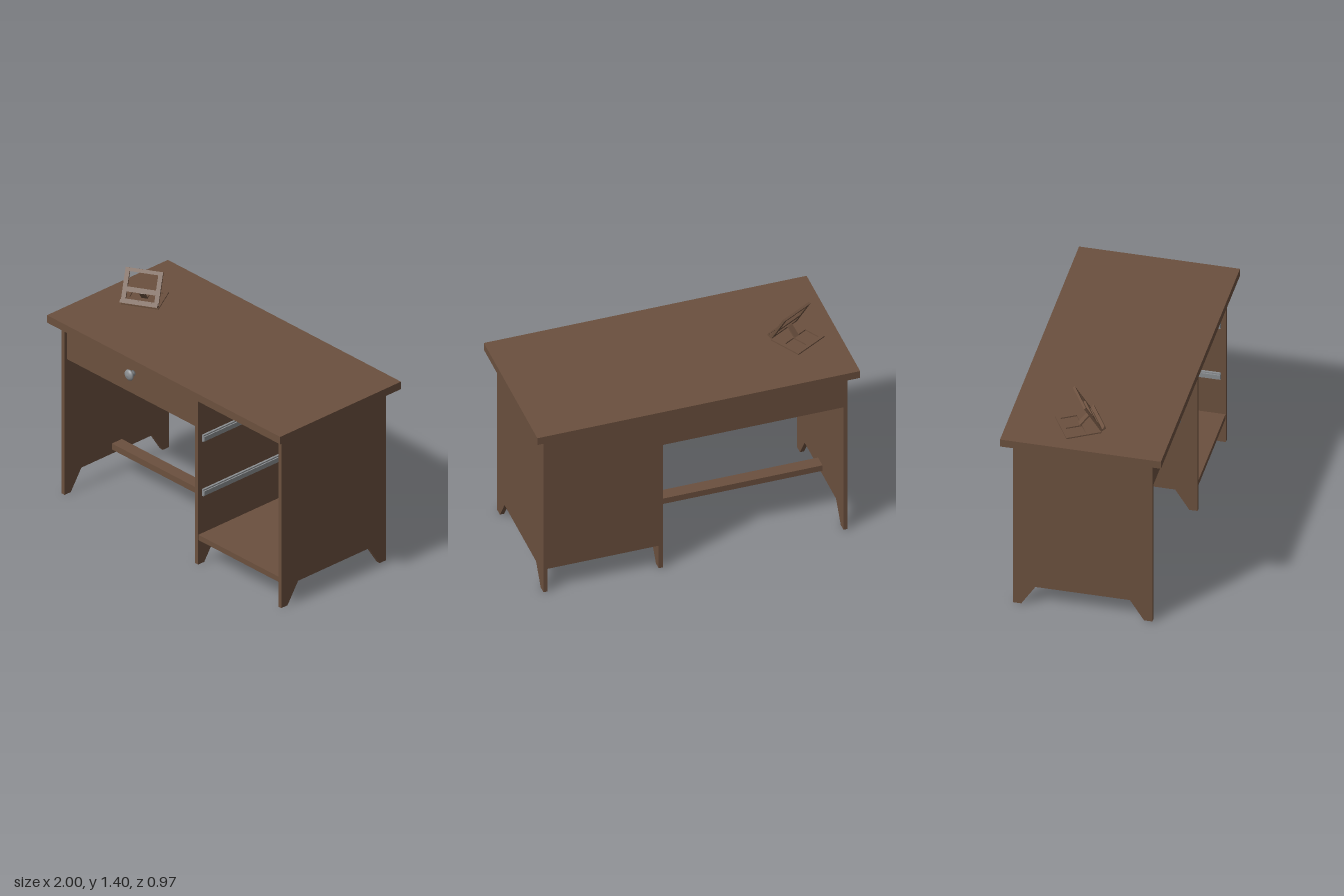
import * as THREE from 'three';

const wood = new THREE.MeshStandardMaterial({ color: 0x6b503e });
wood.name = 'brown wood';
const metal = new THREE.MeshStandardMaterial({ color: 0x8a8d90 });
metal.name = 'grey metal';

function add(parent, name, geometry, material = wood) {
  const mesh = new THREE.Mesh(geometry, material);
  mesh.name = name;
  parent.add(mesh);
  return mesh;
}

// Box given by its limits on each axis
function board(parent, name, [x0, x1], [y0, y1], [z0, z1], material = wood) {
  const mesh = add(parent, name, new THREE.BoxGeometry(x1 - x0, y1 - y0, z1 - z0), material);
  mesh.position.set((x0 + x1) / 2, (y0 + y1) / 2, (z0 + z1) / 2);
  return mesh;
}

function rectPoints(x0, x1, y0, y1) {
  return [[x0, y0], [x1, y0], [x1, y1], [x0, y1]].map(p => new THREE.Vector2(...p));
}

// Flat rectangular plate with rectangular openings
function framePlate(outer, openings, depth) {
  const shape = new THREE.Shape(rectPoints(...outer));
  openings.forEach(o => shape.holes.push(new THREE.Path(rectPoints(...o))));
  return new THREE.ExtrudeGeometry(shape, { depth, bevelEnabled: false });
}

// Upright panel whose lower edge is cut away to leave two feet
function footedPanel() {
  const half = [[0.42, 1.14], [0.42, 0], [0.37, 0], [0.285, 0.132]];
  const points = [...half, ...half.slice().reverse().map(([z, y]) => [-z, y])];
  const shape = new THREE.Shape(points.map(p => new THREE.Vector2(...p)));
  const geometry = new THREE.ExtrudeGeometry(shape, { depth: 0.026, bevelEnabled: false });
  return geometry.rotateY(Math.PI / 2);
}

function createStand() {
  const stand = new THREE.Group();
  stand.name = 'deviceStand';
  stand.position.set(-0.75, 1.2, -0.065);
  stand.rotation.y = Math.PI / 6;

  // Thin base with two openings
  const base = framePlate([-0.115, 0.115, -0.1, 0.115],
    [[-0.09, -0.015, -0.01, 0.09], [0.015, 0.09, -0.01, 0.09]], 0.008);
  add(stand, 'standBase', base.rotateX(-Math.PI / 2));

  // Leaning back rest with a tall and a low opening
  const rest = new THREE.Group();
  rest.name = 'backRest';
  rest.position.set(0, 0.01, 0.098);
  rest.rotation.x = -0.52;
  stand.add(rest);
  add(rest, 'restFrame', framePlate([-0.115, 0.115, 0, 0.212],
    [[-0.088, 0.088, 0.1, 0.19], [-0.088, 0.088, 0.028, 0.07]], 0.014));

  // Ledge with a small lip
  board(rest, 'ledge', [-0.115, 0.115], [0, 0.012], [0.014, 0.034]);
  board(rest, 'ledgeLip', [-0.115, 0.115], [0, 0.02], [0.028, 0.036]);

  // Strut from the base to the cross bar
  const strut = board(stand, 'strut', [-0.018, 0.018], [-0.04, 0.04], [-0.005, 0.005]);
  strut.position.set(0, 0.04, 0.028);
  strut.rotation.x = 0.75;
  return stand;
}

export function createModel() {
  const desk = new THREE.Group();
  desk.name = 'desk';

  board(desk, 'deskTop', [-1, 1], [1.15, 1.2], [-0.485, 0.485]);

  // Three footed uprights
  [['rightPanel', -0.945], ['middlePanel', 0.2], ['leftPanel', 0.914]].forEach(([name, x]) => {
    add(desk, name, footedPanel()).position.x = x;
  });

  // Drawer compartment and stretcher in the knee space
  const knee = [-0.919, 0.2];
  board(desk, 'drawerFront', knee, [0.905, 1.14], [0.375, 0.4]);
  board(desk, 'drawerBottom', knee, [0.905, 0.925], [-0.395, 0.375]);
  board(desk, 'backApron', knee, [0.905, 1.14], [-0.42, -0.395]);
  board(desk, 'stretcher', knee, [0.16, 0.2], [-0.04, 0.04]);

  // Open cabinet
  const cabinet = [0.226, 0.914];
  board(desk, 'cabinetFloor', cabinet, [0.165, 0.2], [-0.418, 0.418]);
  board(desk, 'cabinetBack', cabinet, [0.2, 1.14], [-0.418, -0.385]);

  // Runners on both cabinet walls
  [0.475, 0.84].forEach(y => {
    [[0.226, 1], [0.914, -1]].forEach(([x, side]) => {
      const span = (a, b) => [x + side * a, x + side * b].sort((p, q) => p - q);
      board(desk, 'runner', span(0, 0.014), [y - 0.022, y + 0.022], [-0.385, 0.39], metal);
      board(desk, 'runnerRail', span(0.014, 0.022), [y - 0.014, y + 0.014], [-0.385, 0.39], metal);
    });
  });

  // Round drawer knob
  const profile = [[0, 0], [0.018, 0], [0.014, 0.012], [0.015, 0.02], [0.029, 0.024], [0.035, 0.033],
    [0.032, 0.041], [0.02, 0.048], [0, 0.051]].map(p => new THREE.Vector2(...p));
  const knob = add(desk, 'drawerKnob', new THREE.LatheGeometry(profile, 32).rotateX(Math.PI / 2), metal);
  knob.position.set(-0.35, 1.045, 0.4);

  desk.add(createStand());
  return desk;
}
